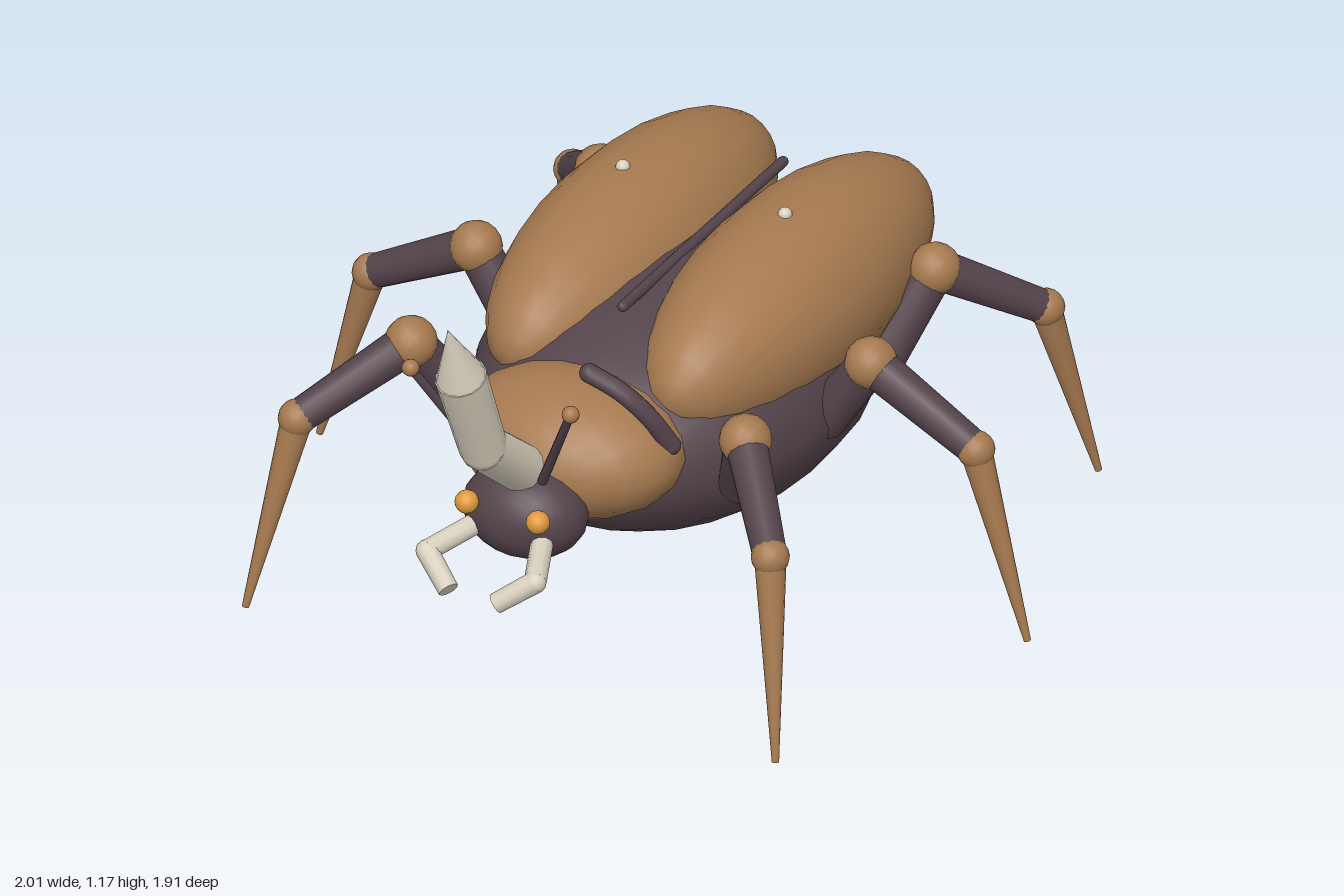
import * as THREE from 'three';

const mat = (color) => new THREE.MeshStandardMaterial({ color });
const V = (p) => new THREE.Vector3(...p);

export function createModel() {
  const root = new THREE.Group();
  const shell = mat(0xa67a50), dark = mat(0x54434b), ivory = mat(0xd8d0be), amber = mat(0xe09a3c);

  const add = (name, geometry, material, parent = root) => {
    const mesh = new THREE.Mesh(geometry, material);
    mesh.name = name;
    parent.add(mesh);
    return mesh;
  };
  // Ellipsoid with its poles along z
  const ellipsoid = (name, c, r, material, parent = root, w = 20, h = 14) => {
    const g = new THREE.SphereGeometry(1, w, h).rotateX(Math.PI / 2).scale(...r);
    return add(name, g.translate(...c), material, parent);
  };
  const ball = (name, c, r, material, parent) => ellipsoid(name, c, [r, r, r], material, parent, 14, 10);
  // Tapered rod from point a to point b
  const rod = (name, a, b, ra, rb, material, parent = root, sides = 14) => {
    const from = V(a), dir = V(b).sub(from), len = dir.length();
    const mesh = add(name, new THREE.CylinderGeometry(rb, ra, len, sides), material, parent);
    mesh.quaternion.setFromUnitVectors(new THREE.Vector3(0, 1, 0), dir.normalize());
    mesh.position.copy(from).addScaledVector(dir, len / 2);
    return mesh;
  };

  // Body
  ellipsoid('abdomen', [0, 0.485, -0.17], [0.47, 0.315, 0.62], dark);
  ellipsoid('neckShield', [0, 0.55, 0.35], [0.3, 0.175, 0.225], shell);
  ellipsoid('head', [0, 0.47, 0.575], [0.163, 0.12, 0.125], dark);
  const seam = add('wingSeam', new THREE.CapsuleGeometry(0.014, 0.79, 4, 10), dark);
  seam.rotation.x = Math.PI / 2;
  seam.position.set(0, 0.795, -0.3);

  // Bent horn with a pointed tip
  rod('hornBase', [0, 0.6, 0.6], [0, 0.755, 0.785], 0.062, 0.06, ivory);
  ball('hornBend', [0, 0.755, 0.785], 0.059, ivory);
  rod('hornShaft', [0, 0.755, 0.785], [0, 1.013, 0.895], 0.06, 0.065, ivory);
  rod('hornTip', [0, 1.01, 0.893], [0, 1.18, 0.96], 0.063, 0, ivory);

  // Parts on both sides
  const legs = [
    { name: 'frontLeg', p: [[0.39, 0.46, 0.19], [0.47, 0.67, 0.315], [0.665, 0.51, 0.535], [0.745, 0.008, 0.65]] },
    { name: 'middleLeg', p: [[0.42, 0.47, -0.155], [0.555, 0.67, -0.155], [0.85, 0.51, -0.155], [0.995, 0.008, -0.155]] },
    { name: 'rearLeg', p: [[0.39, 0.46, -0.5], [0.47, 0.67, -0.62], [0.665, 0.51, -0.825], [0.745, 0.008, -0.945]] },
  ];
  for (const s of [1, -1]) {
    const side = s > 0 ? 'left' : 'right';
    const m = ([x, y, z]) => [s * x, y, z];
    const group = (name) => {
      const g = new THREE.Group();
      g.name = side + name;
      root.add(g);
      return g;
    };

    ellipsoid(side + 'WingCase', m([0.22, 0.675, -0.335]), [0.232, 0.245, 0.6], shell);
    ball(side + 'WingStud', m([0.228, 0.917, -0.305]), 0.018, ivory);
    ball(side + 'Eye', m([0.1, 0.52, 0.69]), 0.03, amber);

    const antenna = group('Antenna');
    rod('antennaStalk', m([0.07, 0.59, 0.615]), m([0.225, 0.895, 0.748]), 0.013, 0.011, dark, antenna, 8);
    ball('antennaKnob', m([0.225, 0.895, 0.748]), 0.022, shell, antenna);

    const jaw = group('Jaw');
    rod('jawBase', m([0.09, 0.445, 0.65]), m([0.152, 0.42, 0.795]), 0.028, 0.028, ivory, jaw, 10);
    ball('jawBend', m([0.152, 0.42, 0.795]), 0.028, ivory, jaw);
    rod('jawTip', m([0.152, 0.42, 0.795]), m([0.066, 0.357, 0.84]), 0.028, 0.026, ivory, jaw, 10);

    for (const { name, p } of legs) {
      const [hip, knee, ankle, foot] = p.map(m);
      const leg = group(name[0].toUpperCase() + name.slice(1));
      rod('hip', hip, knee, 0.06, 0.052, dark, leg);
      ball('knee', knee, 0.066, shell, leg);
      rod('thigh', knee, ankle, 0.053, 0.043, dark, leg);
      ball('ankle', ankle, 0.048, shell, leg);
      rod('shin', ankle, foot, 0.04, 0.009, shell, leg);
    }
  }

  // Curved bar over one shoulder
  const arc = new THREE.CatmullRomCurve3(
    [[0.085, 0.795, 0.41], [0.17, 0.765, 0.405], [0.235, 0.7, 0.38], [0.275, 0.61, 0.34]].map(V));
  add('shoulderBar', new THREE.TubeGeometry(arc, 16, 0.025, 10), dark);
  for (const t of [0, 1]) ball('shoulderBarEnd', arc.getPoint(t).toArray(), 0.025, dark);

  // Row of small markers along the right flank
  for (const z of [-0.42, -0.24, -0.06]) {
    add('flankMarker', new THREE.BoxGeometry(0.015, 0.035, 0.07), amber).position.set(-0.472, 0.45, z);
  }
  return root;
}
